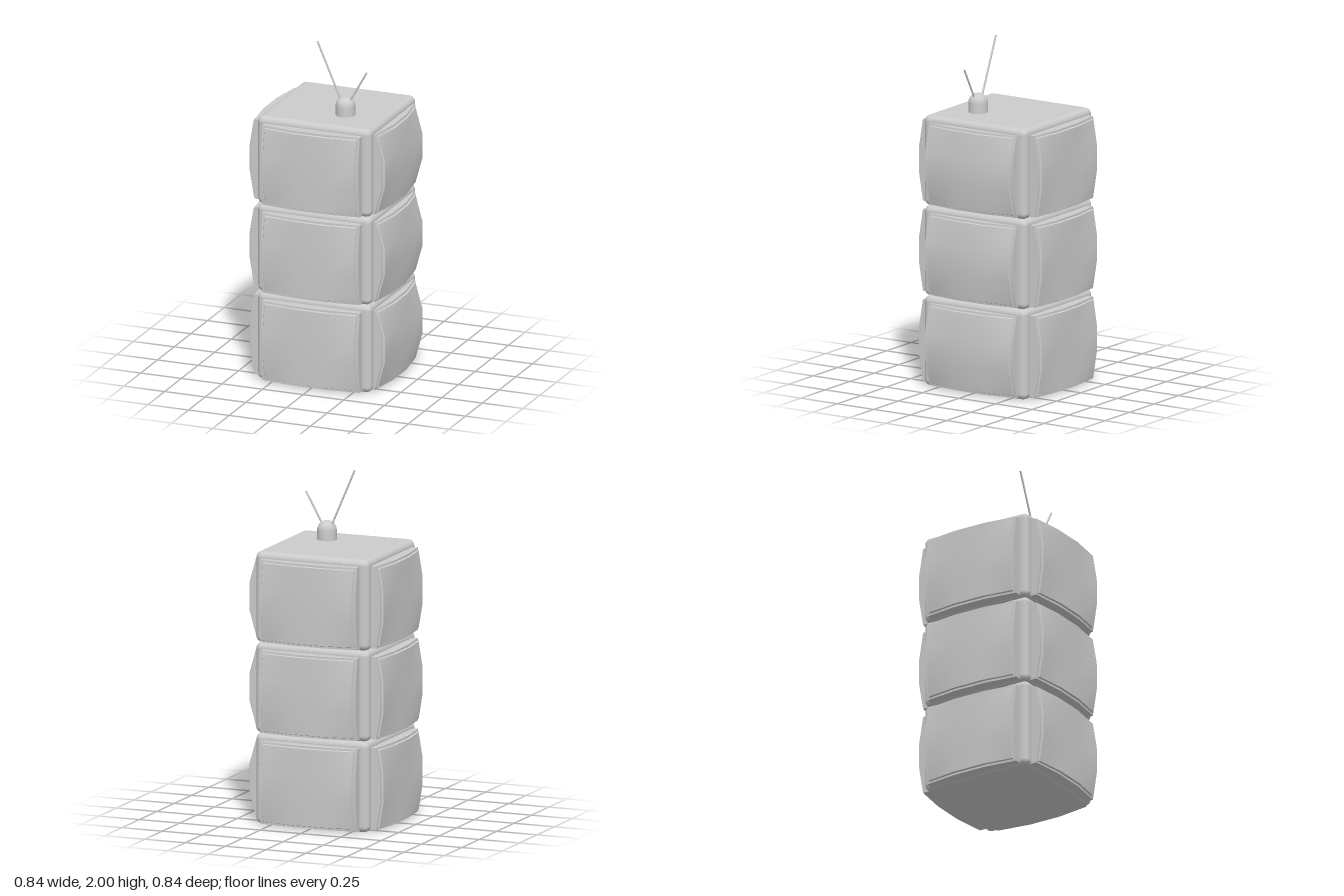
import * as THREE from 'three';
import { toCreasedNormals } from 'three/addons/utils/BufferGeometryUtils.js';
import { RoundedBoxGeometry } from 'three/addons/geometries/RoundedBoxGeometry.js';

const grey = new THREE.MeshStandardMaterial({ color: 0xcccccc });
const BOX = 0.7, HEIGHT = 0.5275;

// Slab whose front is a three-by-three patch with its corners pulled back.
// stops: grid positions from -1 to 1; bevel: how far the outermost ring drops.
function bulgedSlab(halfW, halfH, front, stops, bevel, taper) {
  const n = stops.length - 1;
  const geo = new THREE.BoxGeometry(2, 2, 2, n, n, 1);
  const pos = geo.attributes.position;
  const edge = (t) => Math.max(0, (Math.abs(t) - 1 / 3) * 1.5);
  for (let i = 0; i < pos.count; i++) {
    const u = stops[Math.round((pos.getX(i) + 1) * n / 2)];
    const v = stops[Math.round((pos.getY(i) + 1) * n / 2)];
    const eu = edge(u), ev = edge(v);
    let z = 0.3;
    if (pos.getZ(i) > 0) {
      z = front - 0.026 * eu * ev - taper * ev - taper * 0.25 * eu;
      if (Math.max(Math.abs(u), Math.abs(v)) === 1) z -= bevel;
    }
    pos.setXYZ(i, u * halfW, v * halfH, z);
  }
  return toCreasedNormals(geo, 0.5);
}

function add(parent, name, geo, x = 0, y = 0, z = 0) {
  const mesh = new THREE.Mesh(geo, grey);
  mesh.name = name;
  mesh.position.set(x, y, z);
  parent.add(mesh);
  return mesh;
}

// Thin rod between two points
function rod(parent, name, from, to, radius) {
  const a = new THREE.Vector3(...from), b = new THREE.Vector3(...to);
  const dir = b.clone().sub(a);
  const mesh = add(parent, name, new THREE.CylinderGeometry(radius, radius, dir.length(), 12));
  mesh.position.copy(a).add(b).multiplyScalar(0.5);
  mesh.quaternion.setFromUnitVectors(new THREE.Vector3(0, 1, 0), dir.normalize());
}

export function createModel() {
  const model = new THREE.Group();
  model.name = 'televisionStack';

  const cabinet = new RoundedBoxGeometry(BOX, HEIGHT, BOX, 4, 0.035);
  const frameStops = [-1, -1 / 3, 1 / 3, 1];
  const screenStops = [-1, -0.985, -0.95, -1 / 3, 1 / 3, 0.95, 0.985, 1];
  const panel = (front, taper) => ({
    frame: bulgedSlab(0.3, 0.239, front, frameStops, 0, taper),
    screen: bulgedSlab(0.285, 0.227, front + 0.012, screenStops, 0.008, taper),
  });
  const plain = panel(0.408, 0);
  const tapered = panel(0.405, 0.017);

  // Three cabinets, each with a screen on all four sides
  for (let level = 0; level < 3; level++) {
    const set = new THREE.Group();
    set.name = 'television' + (level + 1);
    set.position.y = (level + 0.5) * HEIGHT;
    add(set, 'cabinet', cabinet);
    ['front', 'left', 'back', 'right'].forEach((side, i) => {
      const group = new THREE.Group();
      group.name = side + 'Panel';
      group.position.y = -0.013;
      group.rotation.y = i * Math.PI / 2;
      const shapes = side === 'left' ? tapered : plain;
      add(group, 'screenFrame', shapes.frame);
      add(group, 'screen', shapes.screen);
      set.add(group);
    });
    model.add(set);
  }

  // Domed aerial base with two rods
  const aerial = new THREE.Group();
  aerial.name = 'aerial';
  const profile = [new THREE.Vector2(0, 1.57), new THREE.Vector2(0.056, 1.57)];
  for (let i = 0; i <= 10; i++) {
    const a = i / 10 * Math.PI / 2;
    profile.push(new THREE.Vector2(0.056 * Math.cos(a), 1.638 + 0.056 * Math.sin(a)));
  }
  add(aerial, 'aerialBase', toCreasedNormals(new THREE.LatheGeometry(profile, 32), 0.6), 0.109, 0, 0.131);
  rod(aerial, 'longRod', [0.09, 1.64, 0.126], [-0.065, 1.998, 0.126], 0.0055);
  rod(aerial, 'shortRod', [0.122, 1.64, 0.137], [0.242, 1.852, 0.137], 0.0055);
  model.add(aerial);

  return model;
}
